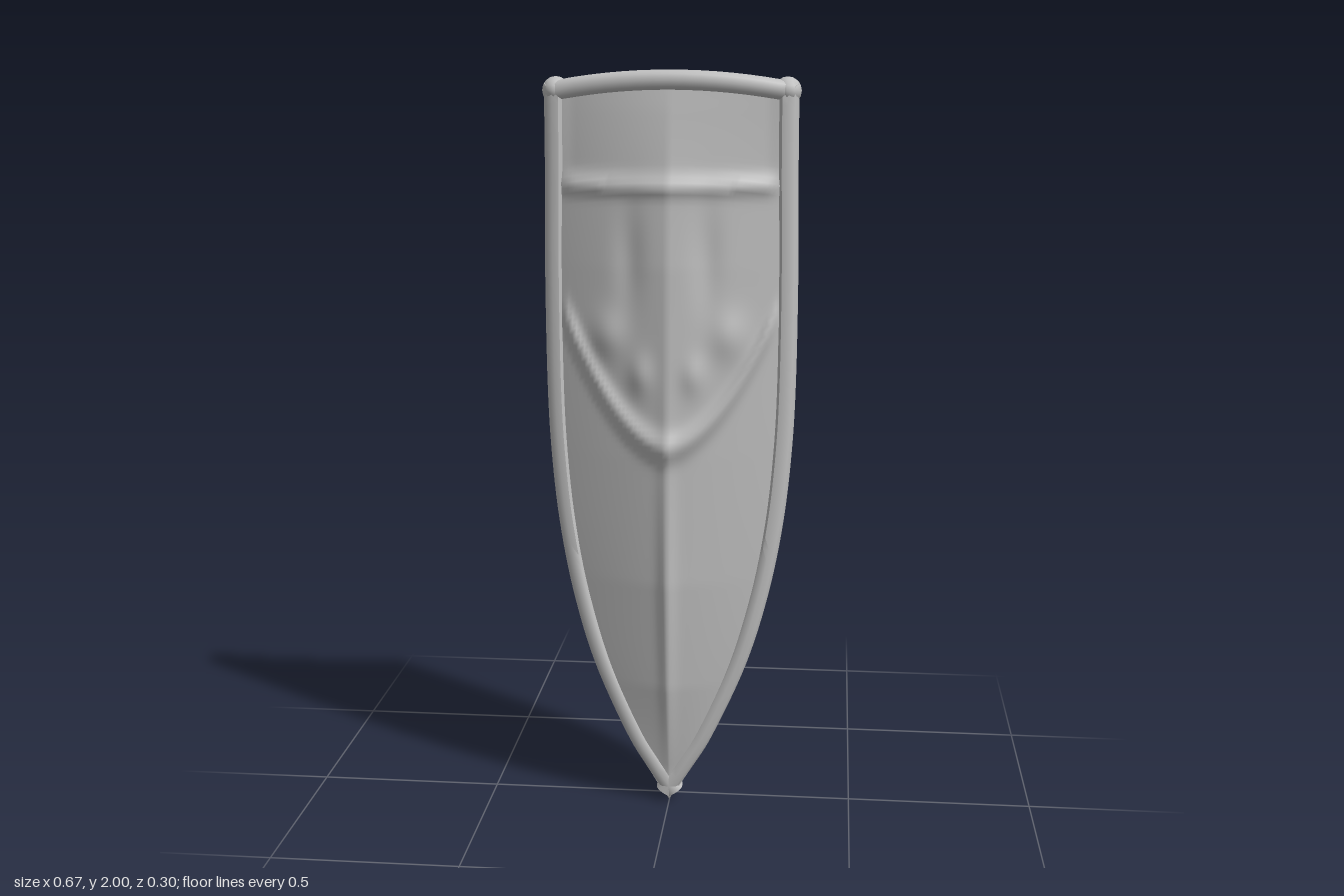
import * as THREE from 'three';
import { toCreasedNormals } from 'three/addons/utils/BufferGeometryUtils.js';

const steel = new THREE.MeshStandardMaterial({ color: 0xc0c0c0 });
steel.name = 'steel grey';

// piecewise-linear lookup through [position, value] pairs
function lookup(table, t) {
  for (let i = 1; i < table.length; i++) {
    const [a, va] = table[i - 1], [b, vb] = table[i];
    if (t <= b) return va + (vb - va) * Math.max(0, (t - a) / (b - a));
  }
  return table[table.length - 1][1];
}

// half width of the shield, smoothed along its edge
const edge = new THREE.SplineCurve([
  [0, 0], [0.065, 0.1], [0.123, 0.2], [0.21, 0.4], [0.268, 0.6], [0.305, 0.8],
  [0.325, 1.0], [0.333, 1.2], [0.334, 1.5], [0.33, 1.75], [0.329, 1.965],
].map(([x, y]) => new THREE.Vector2(x, y)));
const edgePoints = edge.getPoints(60);
const widthTable = edgePoints.map((p) => [p.y, p.x]);
const halfWidth = (y) => lookup(widthTable, y);
const curveZ = (x) => 0.037 - 0.37 * x * x;
const ridge = [[0, 0.022], [0.1, 0.03], [0.35, 0.07], [0.65, 0.092], [1.0, 0.095], [1.3, 0.09],
  [1.5, 0.085], [1.7, 0.07], [1.9, 0.04], [2, 0.022]];
const bump = (d, size) => Math.exp(-((d / size) ** 2));

// embossed front: central keel, upper band, crescent and soft lumps
function frontHeight(x, y, u) {
  const a = Math.abs(x);
  let h = 0.022 + (lookup(ridge, y) - 0.022) * (1 - Math.abs(u));
  const fade = THREE.MathUtils.clamp((0.96 - Math.abs(u)) * 8, 0, 1);
  let relief = 0.014 * bump(y - 1.71, 0.022);
  if (y > 1.71) relief -= 0.006;
  const crescent = 1.03 + 0.3 * (a / 0.26) ** 1.8;
  if (a < 0.28) relief += 0.02 * bump(y - crescent, 0.035);
  relief += 0.014 * bump(a - 0.16, 0.045) * bump(y - 1.32, 0.06);
  relief += 0.012 * bump(a - 0.07, 0.03) * bump(y - 1.22, 0.05);
  relief -= 0.01 * bump(a - 0.1, 0.035) * bump(y - 1.52, 0.13);
  relief += 0.01 * bump(a, 0.02) * bump(y - 0.65, 0.4);
  return h + relief * fade;
}

// quads between rows of equal length
function gridGeometry(rows, flip = false) {
  const n = rows[0].length, index = [];
  for (let j = 0; j < rows.length - 1; j++) {
    for (let i = 0; i < n - 1; i++) {
      const a = j * n + i, b = a + 1, c = a + n, d = c + 1;
      if (flip) index.push(a, d, b, a, c, d);
      else index.push(a, b, d, a, d, c);
    }
  }
  const g = new THREE.BufferGeometry();
  g.setAttribute('position', new THREE.Float32BufferAttribute(rows.flat(2), 3));
  g.setIndex(index);
  g.computeVertexNormals();
  return g;
}

function panel(depth, flip, cols, count) {
  const rows = [];
  for (let j = 0; j <= count; j++) {
    const t = j / count, row = [];
    for (let i = 0; i <= cols; i++) {
      const u = (i / cols) * 2 - 1;
      const y = 0.04 + t * (1.9 + 0.03 * (1 - u * u));
      const x = u * halfWidth(y) * 0.93;
      row.push([x, y, curveZ(x) + depth(x, y, u)]);
    }
    rows.push(row);
  }
  return gridGeometry(rows, flip);
}

// rounded rim swept round the closed outline with mitred corners
function rimGeometry() {
  const path = edgePoints.map((p) => p.clone());
  for (let i = 1; i < 16; i++) {
    const u = 1 - i / 8;
    path.push(new THREE.Vector2(0.329 * u, 1.965 + 0.033 * (1 - u * u)));
  }
  for (let i = edgePoints.length - 1; i > 0; i--) path.push(new THREE.Vector2(-edgePoints[i].x, edgePoints[i].y));
  const n = path.length, rows = [];
  for (let k = 0; k <= n; k++) {
    const p = path[k % n];
    const before = p.clone().sub(path[(k + n - 1) % n]).normalize();
    const after = path[(k + 1) % n].clone().sub(p).normalize();
    const nb = new THREE.Vector2(-before.y, before.x), na = new THREE.Vector2(-after.y, after.x);
    const inward = nb.clone().add(na).normalize();
    inward.multiplyScalar(1 / Math.max(0.5, inward.dot(na)));
    const depth = 0.032 + 0.01 * Math.min(1, p.y / 0.5);
    const row = [];
    for (let s = 0; s <= 12; s++) {
      const a = (s / 12) * Math.PI * 2;
      const soft = (v) => Math.sign(v) * Math.abs(v) ** 0.7;
      const off = 0.026 * (1 - soft(Math.cos(a)));
      const x = p.x + inward.x * off, y = p.y + inward.y * off;
      row.push([x, y, curveZ(x) + depth * soft(Math.sin(a))]);
    }
    rows.push(row);
  }
  return toCreasedNormals(gridGeometry(rows, true), 0.9);
}

// flat strap bowed out behind the shield
function strapGeometry() {
  const curve = new THREE.CatmullRomCurve3([
    [-0.185, -0.03], [-0.15, -0.075], [-0.09, -0.112], [0, -0.132], [0.06, -0.135],
    [0.13, -0.118], [0.175, -0.09], [0.2, -0.03],
  ].map(([x, z]) => new THREE.Vector3(x, 1, z)));
  const rows = [];
  for (let k = 0; k <= 24; k++) {
    const t = k / 24, p = curve.getPoint(t), d = curve.getTangent(t);
    const thick = 0.018 - 0.009 * t, tall = 0.045 + 0.008 * Math.sin(Math.PI * t), row = [];
    for (let s = 0; s <= 8; s++) {
      const a = ((s + 0.5) / 8) * Math.PI * 2;
      const o = thick * Math.sin(a);
      row.push([p.x - d.z * o, p.y + tall * Math.cos(a), p.z + d.x * o]);
    }
    rows.push(row);
  }
  return toCreasedNormals(gridGeometry(rows, true), 0.9);
}

export function createModel() {
  const model = new THREE.Group();
  model.name = 'shield';
  const add = (name, geometry, x = 0, y = 0, z = 0) => {
    const mesh = new THREE.Mesh(geometry, steel);
    mesh.name = name;
    mesh.position.set(x, y, z);
    model.add(mesh);
    return mesh;
  };

  // body
  add('frontPanel', panel(frontHeight, false, 56, 130));
  add('backPanel', panel(() => -0.02, true, 16, 40));
  add('rim', rimGeometry());
  for (const side of [-1, 1]) {
    add('cornerCap', new THREE.SphereGeometry(1, 12, 8), side * 0.299, 1.945, 0.002).scale.set(0.036, 0.036, 0.047);
  }

  // upright hand grip with its two mounts
  for (const y of [1.295, 1.58]) {
    add('gripMount', new THREE.BoxGeometry(0.106, 0.055, 0.07), 0, y, -0.012);
  }
  const grip = new THREE.CatmullRomCurve3([
    [1.3, -0.02], [1.31, -0.062], [1.36, -0.081], [1.44, -0.083], [1.52, -0.081], [1.57, -0.062], [1.58, -0.02],
  ].map(([y, z]) => new THREE.Vector3(0, y, z)));
  add('handGrip', new THREE.TubeGeometry(grip, 24, 0.027, 10)).scale.x = 1.25;

  // arm strap with its two mounts
  add('armStrap', strapGeometry());
  add('strapMount', new THREE.BoxGeometry(0.06, 0.12, 0.075), -0.185, 1, -0.028);
  add('strapMount', new THREE.BoxGeometry(0.06, 0.12, 0.06), 0.178, 1, -0.024);
  return model;
}
